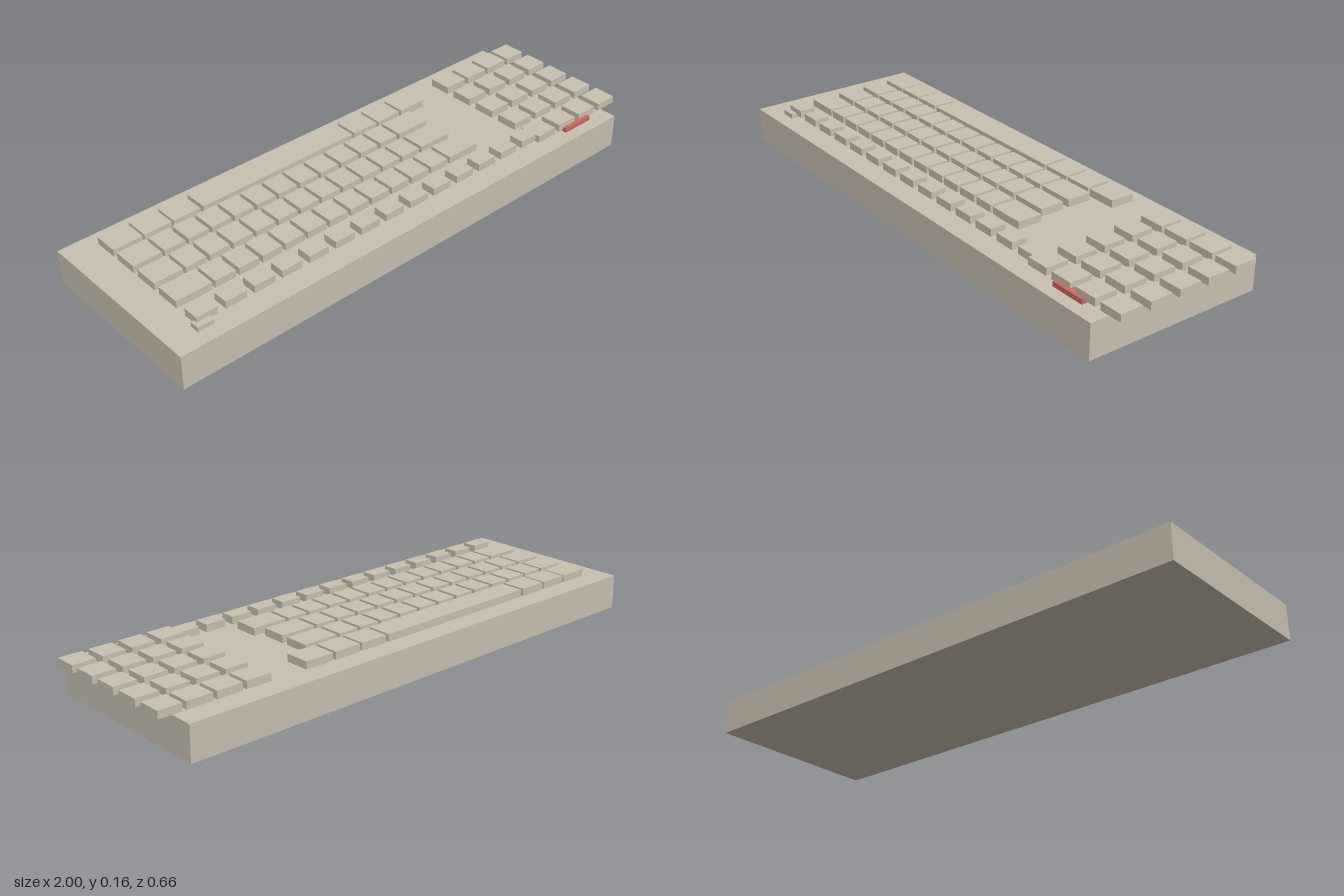
import * as THREE from 'three';

export function createModel() {
  const model = new THREE.Group();
  model.name = 'keyboard';
  const beige = new THREE.MeshStandardMaterial({ color: 0xc8c0b0, name: 'beige' });
  const red = new THREE.MeshStandardMaterial({ color: 0xc86a62, name: 'red' });

  // Box given by its low and high limits on each axis
  const box = (name, mat, x0, x1, y0, y1, z0, z1, parent = model) => {
    const mesh = new THREE.Mesh(new THREE.BoxGeometry(x1 - x0, y1 - y0, z1 - z0), mat);
    mesh.position.set((x0 + x1) / 2, (y0 + y1) / 2, (z0 + z1) / 2);
    mesh.name = name;
    parent.add(mesh);
  };
  const group = (name) => {
    const g = new THREE.Group();
    g.name = name;
    model.add(g);
    return g;
  };
  const key = (parent, name, x0, x1, z, depth) =>
    box(name, beige, x0, x1, 0.133, 0.16, z - depth / 2, z + depth / 2, parent);

  // Case
  box('case', beige, -1, 0.94, 0, 0.125, -0.332, 0.332);

  // Space bar row along the back
  const spaceRow = group('spaceRow');
  [[-0.888, -0.779], [-0.771, -0.667], [-0.659, -0.554], [-0.541, 0.108],
    [0.119, 0.223], [0.233, 0.335], [0.346, 0.455]].forEach(([a, b], i) =>
    key(spaceRow, i === 3 ? 'spaceBar' : 'modifierKey', a, b, -0.223, 0.09));

  // Letter rows: wide key, eleven letters, wide key
  [[-0.113, 0.106, 0], [-0.001, 0.106, 0], [0.112, 0.133, 0.027]].forEach(([z, wide, shift], r) => {
    const row = group('letterRow' + (r + 1));
    key(row, 'wideKeyRight', -0.888, -0.888 + wide, z, 0.09);
    for (let i = 0; i < 11; i++) {
      const x = -0.771 + shift + i * 0.0913;
      key(row, 'letterKey', x, x + 0.078, z, 0.09);
    }
    key(row, 'wideKeyLeft', 0.233 + shift, 0.366 + shift, z, 0.09);
  });

  // Row of small keys along the front
  const smallRow = group('smallKeyRow');
  for (let i = 0; i < 14; i++) {
    const x = -0.888 + i * 0.1081;
    key(smallRow, 'smallKey', x, x + 0.079, 0.228, 0.057);
  }

  // Number pad, with slightly wider keys in its back row
  const numberPad = group('numberPad');
  for (let r = 0; r < 5; r++) {
    for (let c = 0; c < 4; c++) {
      const x = 0.588 + c * 0.1083;
      const width = r === 0 && c < 3 ? 0.094 : 0.085;
      key(numberPad, 'numberKey', x, Math.min(x + width, 1), -0.222 + r * 0.1134, 0.083);
    }
  }

  // Small plates at the front edge
  box('indicator', beige, -0.899, -0.84, 0.125, 0.142, 0.243, 0.278);
  box('redBadge', red, 0.72, 0.85, 0.125, 0.142, 0.245, 0.287);
  return model;
}
